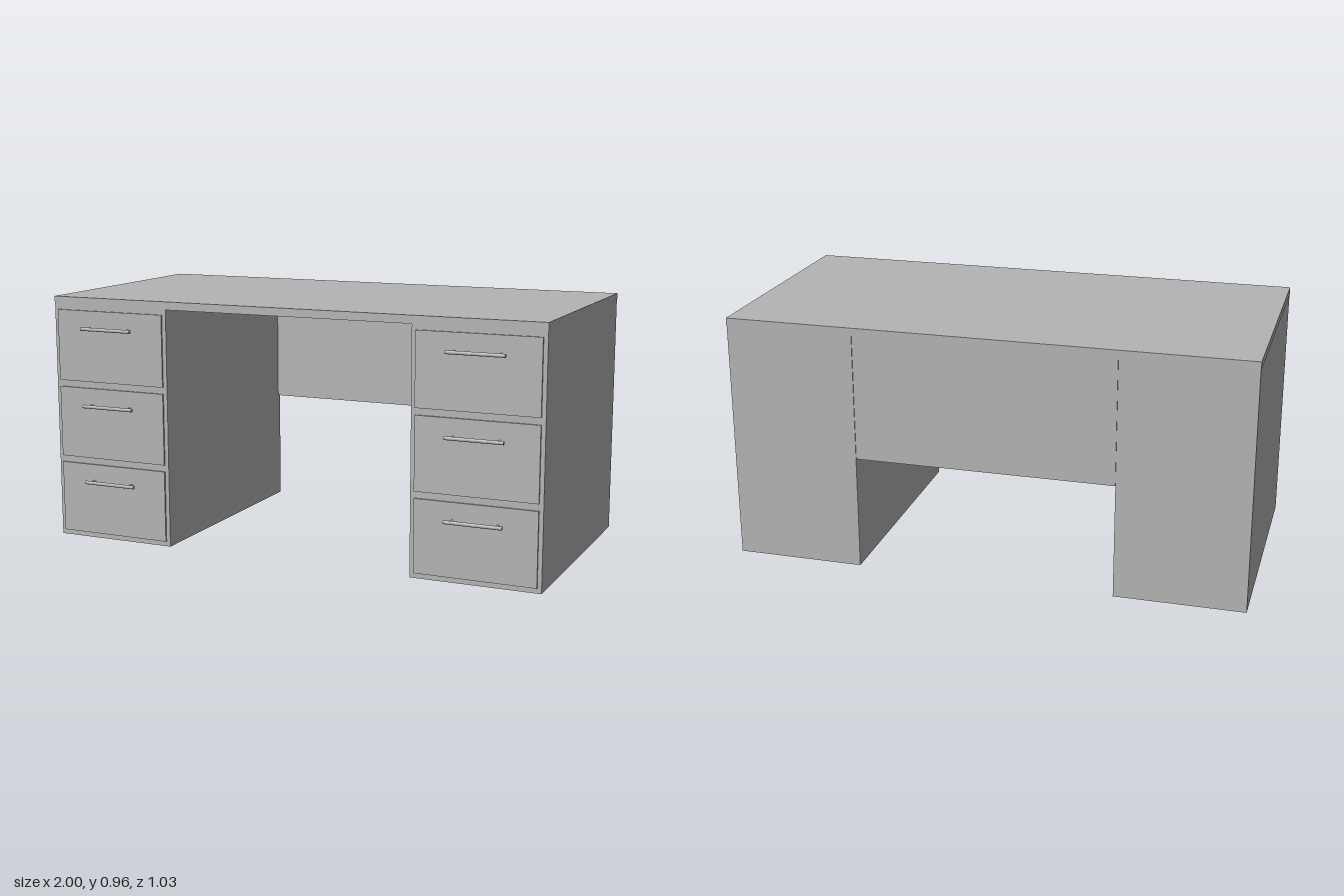
import * as THREE from 'three';

export function createModel() {
  const desk = new THREE.Group();
  desk.name = 'desk';
  const grey = new THREE.MeshStandardMaterial({ color: 0xb4b4b4 });
  grey.name = 'plain grey';

  const BACK = -0.515, FRONT = 0.473;

  // Box given by its lower and upper corners
  function box(name, parent, [x0, y0, z0], [x1, y1, z1]) {
    const mesh = new THREE.Mesh(new THREE.BoxGeometry(x1 - x0, y1 - y0, z1 - z0), grey);
    mesh.position.set((x0 + x1) / 2, (y0 + y1) / 2, (z0 + z1) / 2);
    mesh.name = name;
    parent.add(mesh);
    return mesh;
  }

  function rod(name, parent, radius, length, axis, x, y, z) {
    const geometry = new THREE.CylinderGeometry(radius, radius, length, 20);
    if (axis === 'x') geometry.rotateZ(Math.PI / 2);
    else geometry.rotateX(Math.PI / 2);
    const mesh = new THREE.Mesh(geometry, grey);
    mesh.position.set(x, y, z);
    mesh.name = name;
    parent.add(mesh);
  }

  // Bar handle on two posts
  function handle(parent, x, y) {
    const group = new THREE.Group();
    group.name = 'handle';
    rod('handleBar', group, 0.007, 0.22, 'x', x, y, 0.508);
    for (const dx of [-0.086, 0.086]) rod('handlePost', group, 0.005, 0.03, 'z', x + dx, y, 0.493);
    parent.add(group);
  }

  // Worktop and the panel between the pedestals, flush with the back
  box('worktop', desk, [-1, 0.932, BACK], [1, 0.963, FRONT + 0.001]);
  box('modestyPanel', desk, [-0.5, 0.445, BACK + 0.002], [0.5, 0.932, BACK + 0.02]);

  // Pedestals, each with three drawers
  for (const side of [-1, 1]) {
    const pedestal = new THREE.Group();
    pedestal.name = side > 0 ? 'leftPedestal' : 'rightPedestal';
    const x = side * 0.75;
    box('cabinet', pedestal, [x - 0.249, 0, BACK + 0.001], [x + 0.249, 0.932, FRONT]);
    for (let i = 0; i < 3; i++) {
      const y = 0.02 + i * 0.306;
      box('drawerFront', pedestal, [x - 0.233, y, FRONT - 0.01], [x + 0.233, y + 0.28, 0.48]);
      handle(pedestal, x, y + 0.212);
    }
    desk.add(pedestal);
  }
  return desk;
}
